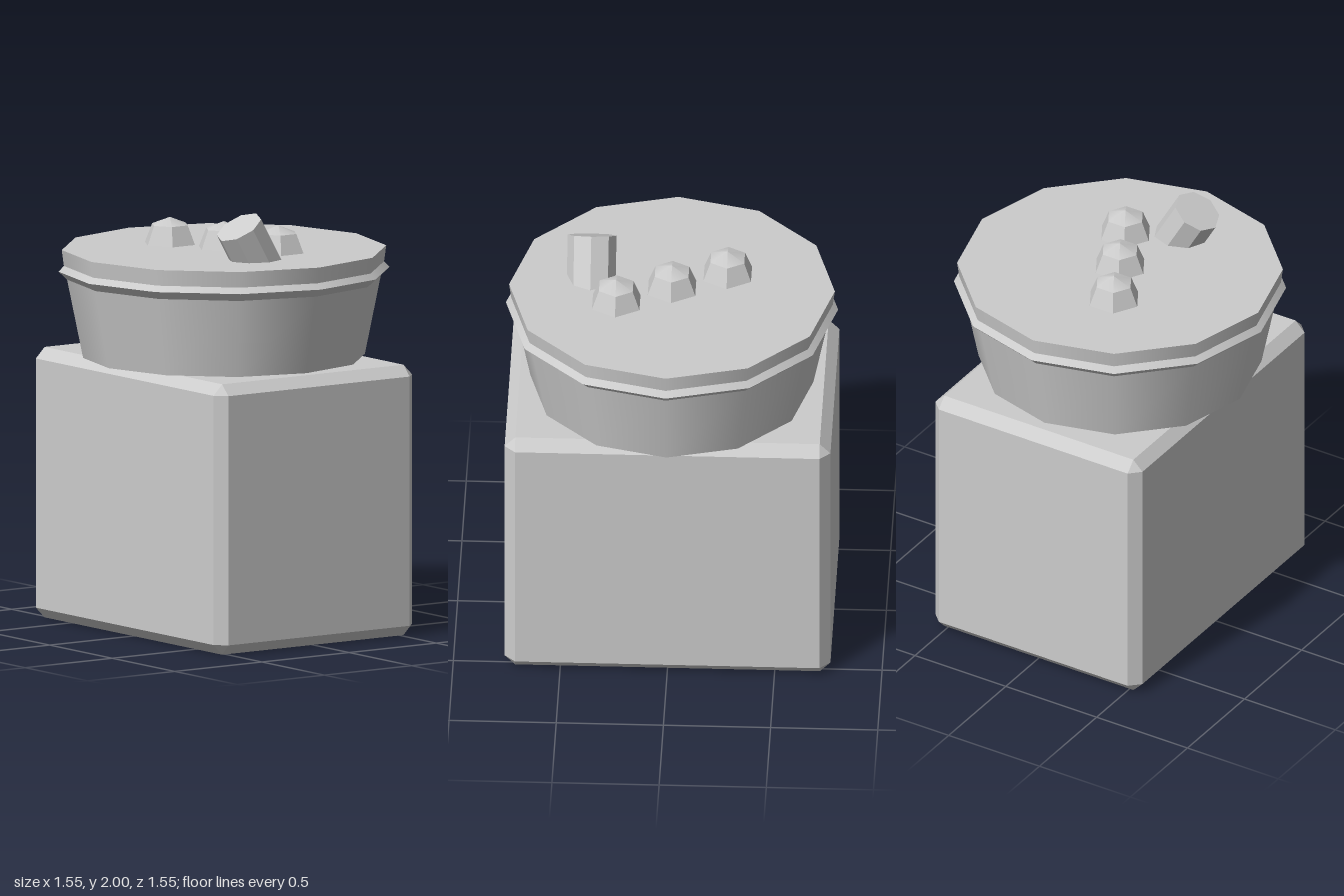
import * as THREE from 'three';
import { ConvexGeometry } from 'three/addons/geometries/ConvexGeometry.js';

const grey = new THREE.MeshStandardMaterial({ color: 0xcccccc });
grey.name = 'plain grey';

function add(parent, name, geometry, x = 0, y = 0, z = 0) {
  const mesh = new THREE.Mesh(geometry, grey);
  mesh.name = name;
  mesh.position.set(x, y, z);
  parent.add(mesh);
  return mesh;
}

// Gives every face its own flat normal
function faceted(geometry) {
  const flat = geometry.toNonIndexed();
  flat.computeVertexNormals();
  return flat;
}

// Box with all edges and corners cut at 45 degrees
function chamferedBox(hx, hy, hz, b) {
  const points = [];
  for (const sx of [-1, 1]) for (const sy of [-1, 1]) for (const sz of [-1, 1]) {
    points.push(
      new THREE.Vector3(sx * hx, sy * (hy - b), sz * (hz - b)),
      new THREE.Vector3(sx * (hx - b), sy * hy, sz * (hz - b)),
      new THREE.Vector3(sx * (hx - b), sy * (hy - b), sz * hz));
  }
  return new ConvexGeometry(points);
}

export function createModel() {
  const model = new THREE.Group();
  model.name = 'boxWithTub';

  // Base block
  add(model, 'base', chamferedBox(0.76, 0.6375, 0.57, 0.05), 0, 0.6375, 0);

  // Twelve-sided tub: one band per profile step, so the rim edges stay sharp
  const tub = new THREE.Group();
  tub.name = 'tub';
  model.add(tub);
  const profile = [[0.66, 1.275], [0.735, 1.645], [0.775, 1.683], [0.75, 1.71], [0.76, 1.785]];
  const names = ['tubWall', 'rimUnderside', 'rimTop', 'lidEdge'];
  names.forEach((name, i) => {
    const [r0, y0] = profile[i];
    const [r1, y1] = profile[i + 1];
    add(tub, name, new THREE.CylinderGeometry(r1, r0, y1 - y0, 12, 1, true), 0, (y0 + y1) / 2, 0);
  });
  const disc = (r) => new THREE.CircleGeometry(r, 12);
  add(tub, 'lid', disc(0.76), 0, 1.785, 0).rotation.x = -Math.PI / 2;
  add(tub, 'tubFloor', disc(0.66), 0, 1.275, 0).rotation.x = Math.PI / 2;

  // Row of three six-sided buttons with shallow caps
  for (const [x, z] of [[-0.255, 0.127], [0, 0], [0.255, -0.13]]) {
    const button = new THREE.Group();
    button.name = 'button';
    button.position.set(x, 1.785, z);
    add(button, 'buttonSide', faceted(new THREE.CylinderGeometry(0.091, 0.128, 0.09, 6, 1, true)), 0, 0.045, 0);
    add(button, 'buttonCap', new THREE.ConeGeometry(0.091, 0.035, 6, 1, true), 0, 0.1075, 0);
    model.add(button);
  }

  // Eight-sided lever leaning forward, its foot sunk into the lid
  const tilt = Math.PI / 6, length = 0.3;
  const lever = add(model, 'lever', faceted(new THREE.CylinderGeometry(0.114, 0.114, length, 8)),
    0.38, 1.945 - Math.cos(tilt) * length / 2, 0.187 - Math.sin(tilt) * length / 2);
  lever.rotation.x = tilt;

  return model;
}
